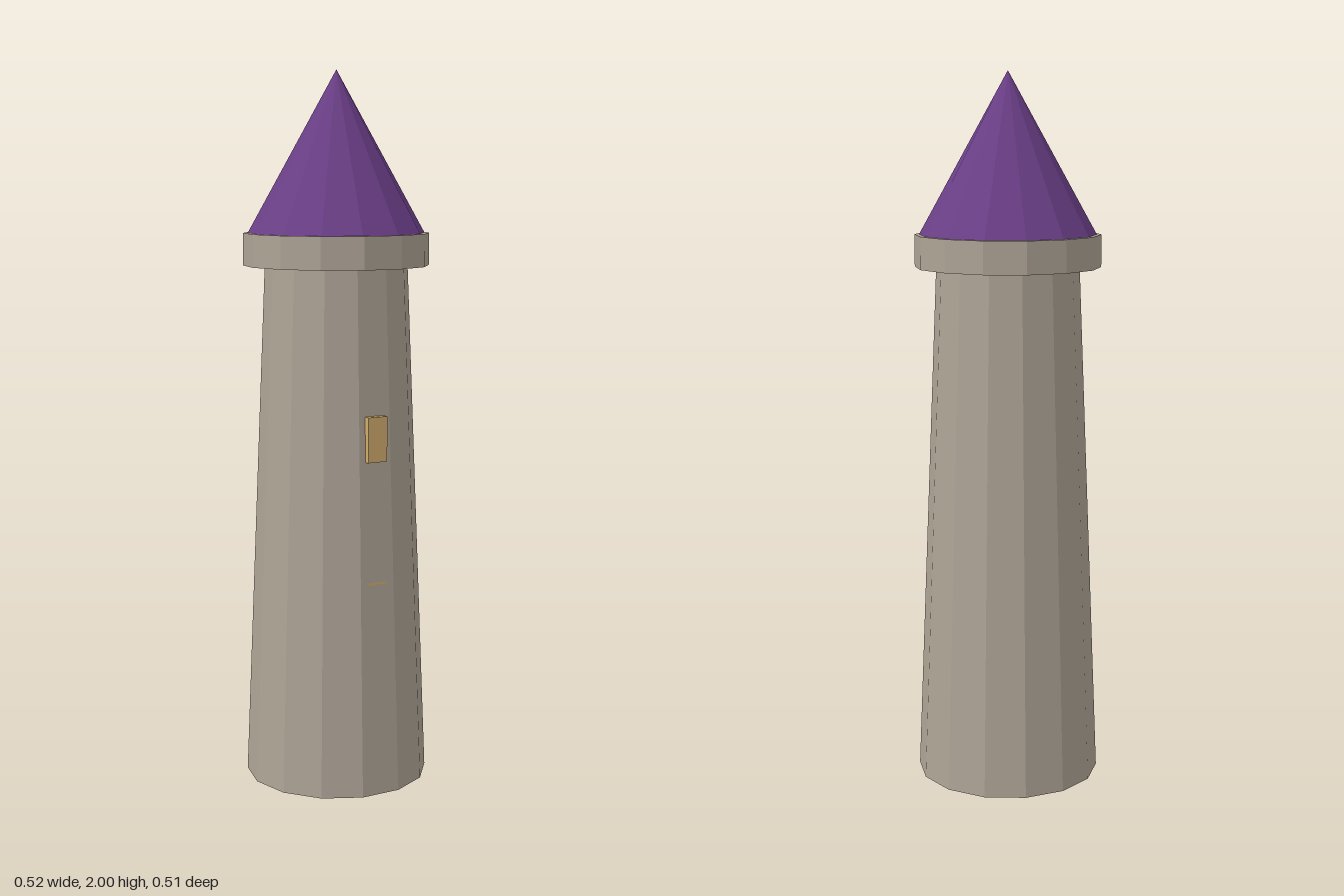
import * as THREE from 'three';

const SIDES = 14;

export function createModel() {
  const group = new THREE.Group();
  const material = (name, color) => {
    const m = new THREE.MeshStandardMaterial({ color, flatShading: true });
    m.name = name;
    return m;
  };
  const stone = material('stone', 0xaea496);
  const roofPurple = material('roof purple', 0x6b3f88);
  const windowGold = material('window gold', 0xd2ab6c);

  const add = (name, geometry, mat, x, y, z) => {
    const mesh = new THREE.Mesh(geometry, mat);
    mesh.name = name;
    mesh.position.set(x, y, z);
    group.add(mesh);
  };
  // Faceted ring section from y0 to y1, with a flat side facing the front
  const section = (name, rTop, rBottom, y0, y1, mat) =>
    add(name, new THREE.CylinderGeometry(rTop, rBottom, y1 - y0, SIDES, 1, false, Math.PI / 2),
      mat, 0, (y0 + y1) / 2, 0);

  // Tapered shaft and overhanging collar
  section('towerShaft', 0.2, 0.26, 0, 1.47, stone);
  section('collar', 0.26, 0.26, 1.465, 1.555, stone);

  // Pointed roof
  const roof = new THREE.ConeGeometry(0.247, 0.445, SIDES, 1, false, Math.PI / 2);
  add('roof', roof, roofPurple, 0, 1.7775, 0);

  // Front windows share one plane, so the lower one is almost sunk into the wall
  const windows = [['upperWindow', 1.003], ['lowerWindow', 0.542]];
  for (const [name, y] of windows) {
    add(name, new THREE.BoxGeometry(0.06, 0.125, 0.03), windowGold, 0, y, 0.2147);
  }
  return group;
}
